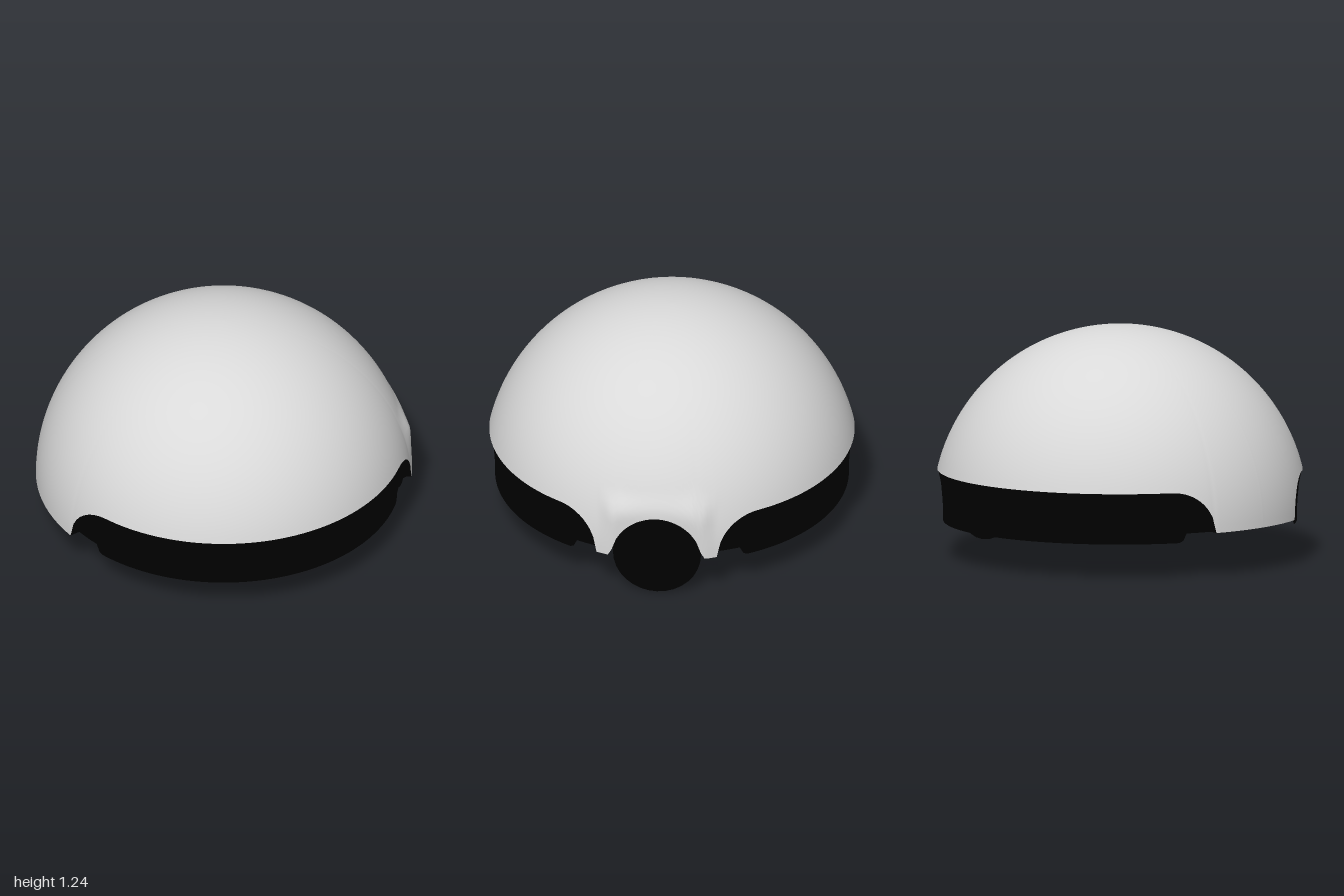
import * as THREE from 'three';
import { toCreasedNormals } from 'three/addons/utils/BufferGeometryUtils.js';

const R = 1, CY = 0.235, SEAM = 0.465; // dome radius, centre height, front and back edge
const WHEEL_R = 0.235;
const COLS = 288, ROWS = 40;

// Lower edge of the white shell at a given z; the sides hang lower, with a wheel arch on the left
function edgeHeight(z, left) {
  const a = Math.abs(z), arch = WHEEL_R + 0.003;
  if (left && a < arch) return CY + Math.max(0.005, Math.sqrt(arch ** 2 - a * a));
  if (a <= 0.32) return 0.24;
  const t = Math.min(1, (a - 0.32) / 0.22);
  return 0.24 + (SEAM - 0.24) * Math.sqrt(1 - (1 - t) ** 2);
}

// Point on the shell: u runs around, v from the crown (0) to the edge (1)
function shellPoint(u, v) {
  const t = u * Math.PI * 2, c = -Math.cos(t), s = Math.sin(t);
  const low = edgeHeight(0.985 * s, c > 0);
  const phi = v * Math.acos((low - CY) / R);
  const p = new THREE.Vector3(c * Math.sin(phi), CY + Math.cos(phi), s * Math.sin(phi));
  // Flat housing around the wheel, blended into the dome
  if (p.x > 0.5) {
    const w = (1 - THREE.MathUtils.smoothstep(Math.abs(p.z), 0.2, 0.32))
      * (1 - THREE.MathUtils.smoothstep(p.y, 0.46, 0.6));
    p.x = THREE.MathUtils.lerp(p.x, 0.975, w);
  }
  return p;
}

function shellGeometry() {
  const g = new THREE.SphereGeometry(R, COLS, ROWS, 0, Math.PI * 2, 0, Math.PI / 2);
  const p = g.attributes.position;
  for (let i = 0; i < p.count; i++) {
    const col = i % (COLS + 1), row = Math.floor(i / (COLS + 1));
    const v = shellPoint(col / COLS, row / ROWS);
    p.setXYZ(i, v.x, v.y, v.z);
  }
  g.computeVertexNormals();
  return g;
}

// Strip that folds inward from the shell edge to the lower band
function rimGeometry() {
  const pos = [], idx = [];
  for (let i = 0; i <= COLS; i++) {
    const e = shellPoint(i / COLS, 1);
    const underArch = e.x > 0 && Math.abs(e.z) < 0.245;
    const k = 0.94 / Math.hypot(e.x, e.z);
    pos.push(e.x, e.y, e.z);
    if (underArch) pos.push(0.9, e.y, e.z);
    else pos.push(e.x * k, e.y, e.z * k);
    if (i < COLS) {
      const a = i * 2;
      idx.push(a, a + 1, a + 2, a + 1, a + 3, a + 2);
    }
  }
  const g = new THREE.BufferGeometry();
  g.setAttribute('position', new THREE.Float32BufferAttribute(pos, 3));
  g.setIndex(idx);
  g.computeVertexNormals();
  return g;
}

// Open band around the base: notched below at both sides, set back behind the wheel
function bandGeometry() {
  const profile = [[0.942, 0.19], [0.942, 0.205], [0.942, 0.24], [0.945, 0.3], [0.953, 0.39], [0.969, SEAM]]
    .map(([r, y]) => new THREE.Vector2(r, y));
  const g = new THREE.LatheGeometry(profile, COLS);
  const p = g.attributes.position;
  for (let i = 0; i < p.count; i++) {
    const x = p.getX(i), z = Math.abs(p.getZ(i));
    const t = THREE.MathUtils.clamp((z - 0.44) / 0.035, 0, 1);
    const bottom = 0.24 - 0.05 * Math.sqrt(1 - (1 - t) ** 2);
    p.setY(i, Math.max(p.getY(i), bottom));
    if (x > 0 && z < 0.245) p.setX(i, Math.min(x, 0.9));
  }
  return toCreasedNormals(g, 0.6);
}

export function createModel() {
  const model = new THREE.Group();
  const white = new THREE.MeshStandardMaterial({ color: 0xd9d9d9 });
  white.name = 'shell white';
  const black = new THREE.MeshStandardMaterial({ color: 0x000000, side: THREE.DoubleSide });
  black.name = 'base black';
  const add = (name, geometry, material) => {
    const m = new THREE.Mesh(geometry, material);
    m.name = name;
    model.add(m);
    return m;
  };

  // Dome shell with its side skirts and wheel housing
  add('domeShell', shellGeometry(), white);
  add('shellRim', rimGeometry(), black);

  // Hollow black base: band below, domed lining above
  add('lowerBand', bandGeometry(), black);
  const liningR = 0.985;
  const lining = new THREE.SphereGeometry(liningR, 64, 24, 0, Math.PI * 2, 0, Math.acos((SEAM - 0.01 - CY) / liningR));
  add('domeLining', lining, black).position.y = CY;

  // Wheel with stepped face and hub
  const wheelProfile = [[0, 0.905], [0.228, 0.905], [WHEEL_R, 0.912], [WHEEL_R, 0.928], [0.225, 0.935],
    [0.195, 0.945], [0.188, 0.974], [0.12, 0.985], [0.105, 0.998], [0.09, 1], [0, 1]]
    .map(([r, x]) => new THREE.Vector2(r, x));
  const wheel = add('wheel', toCreasedNormals(new THREE.LatheGeometry(wheelProfile, 32), 0.9), black);
  wheel.rotation.z = -Math.PI / 2;
  wheel.position.y = CY;

  return model;
}
